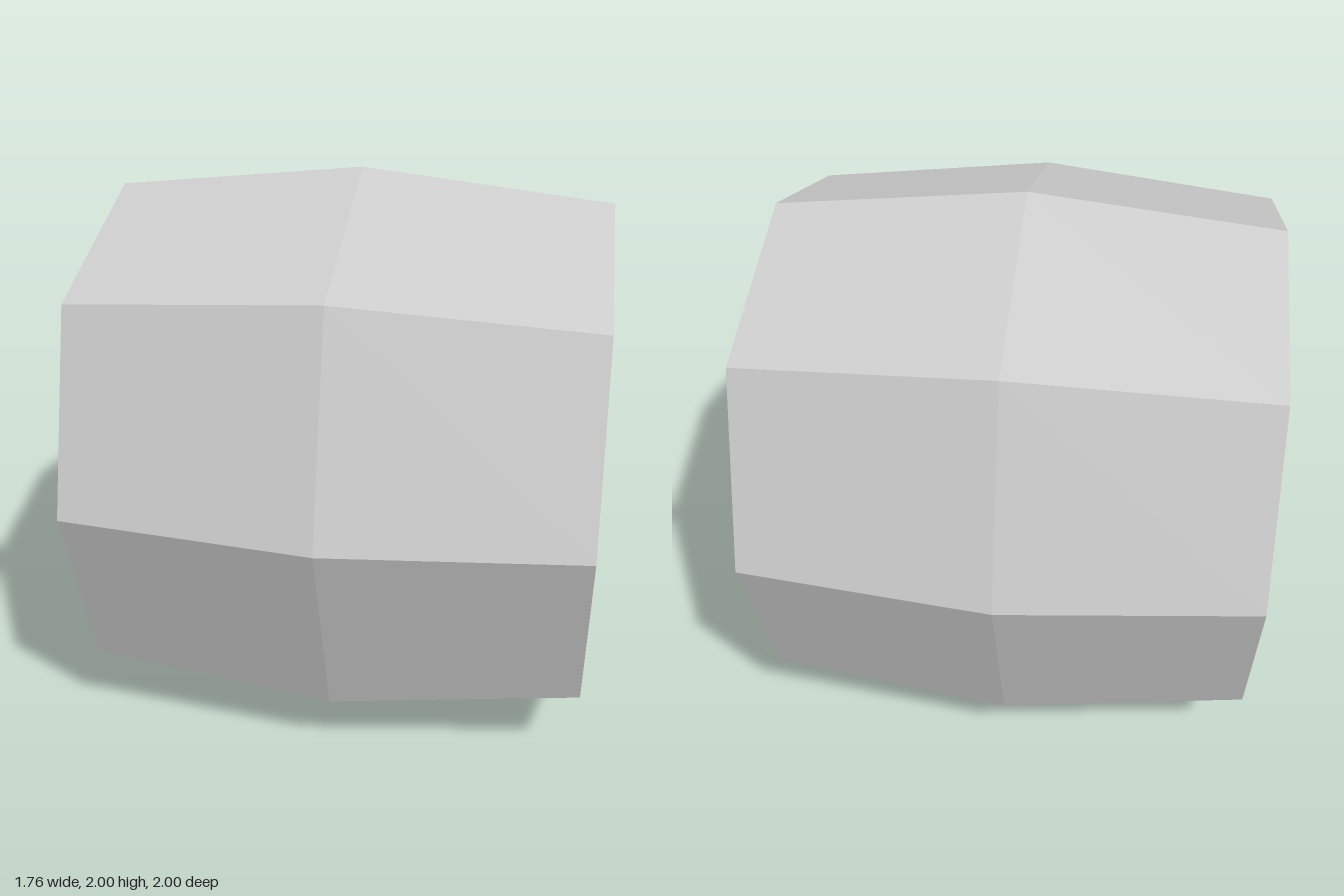
import * as THREE from 'three';

const grey = new THREE.MeshStandardMaterial({ color: 0xcccccc, side: THREE.DoubleSide, flatShading: true });
grey.name = 'light grey';

function addPart(group, name, geometry, x, y) {
  const mesh = new THREE.Mesh(geometry, grey);
  mesh.name = name;
  mesh.position.set(x, y, 0);
  group.add(mesh);
}

// Eight-sided open tube along x; each ring is [x, scale]
function tubeGeometry(rings) {
  const corner = ([x, scale], i) => {
    const a = (i * Math.PI) / 4;
    const r = scale * (i % 2 ? 0.75 * Math.SQRT2 : 1);
    return [x, r * Math.cos(a), r * Math.sin(a)];
  };
  const points = [];
  for (let k = 0; k < rings.length - 1; k++) {
    for (let i = 0; i < 8; i++) {
      const a = corner(rings[k], i), b = corner(rings[k], i + 1);
      const c = corner(rings[k + 1], i + 1), d = corner(rings[k + 1], i);
      points.push(...a, ...b, ...c, ...a, ...c, ...d);
    }
  }
  const geometry = new THREE.BufferGeometry();
  geometry.setAttribute('position', new THREE.Float32BufferAttribute(points, 3));
  geometry.computeVertexNormals();
  return geometry;
}

export function createModel() {
  const model = new THREE.Group();
  model.name = 'barrelShell';

  // Outer shell, widest in the middle and open at both ends
  addPart(model, 'shell', tubeGeometry([[-0.88, 0.905], [0, 1], [0.88, 0.905]]), 0, 1);

  // Shallow six-sided dish inside, hollow towards +x
  const dish = new THREE.ConeGeometry(0.905, 0.314, 6, 1, true, Math.PI / 2);
  dish.rotateZ(Math.PI / 2);
  addPart(model, 'innerDish', dish, 0, 1.008);

  // Small triangular plate at the centre of the dish
  const outline = new THREE.Shape([
    new THREE.Vector2(-0.17, 0.2),
    new THREE.Vector2(-0.015, -0.02),
    new THREE.Vector2(0.145, 0.2),
  ]);
  const plate = new THREE.ShapeGeometry(outline);
  plate.rotateY(Math.PI / 2);
  addPart(model, 'centrePlate', plate, -0.03, 1);

  return model;
}
